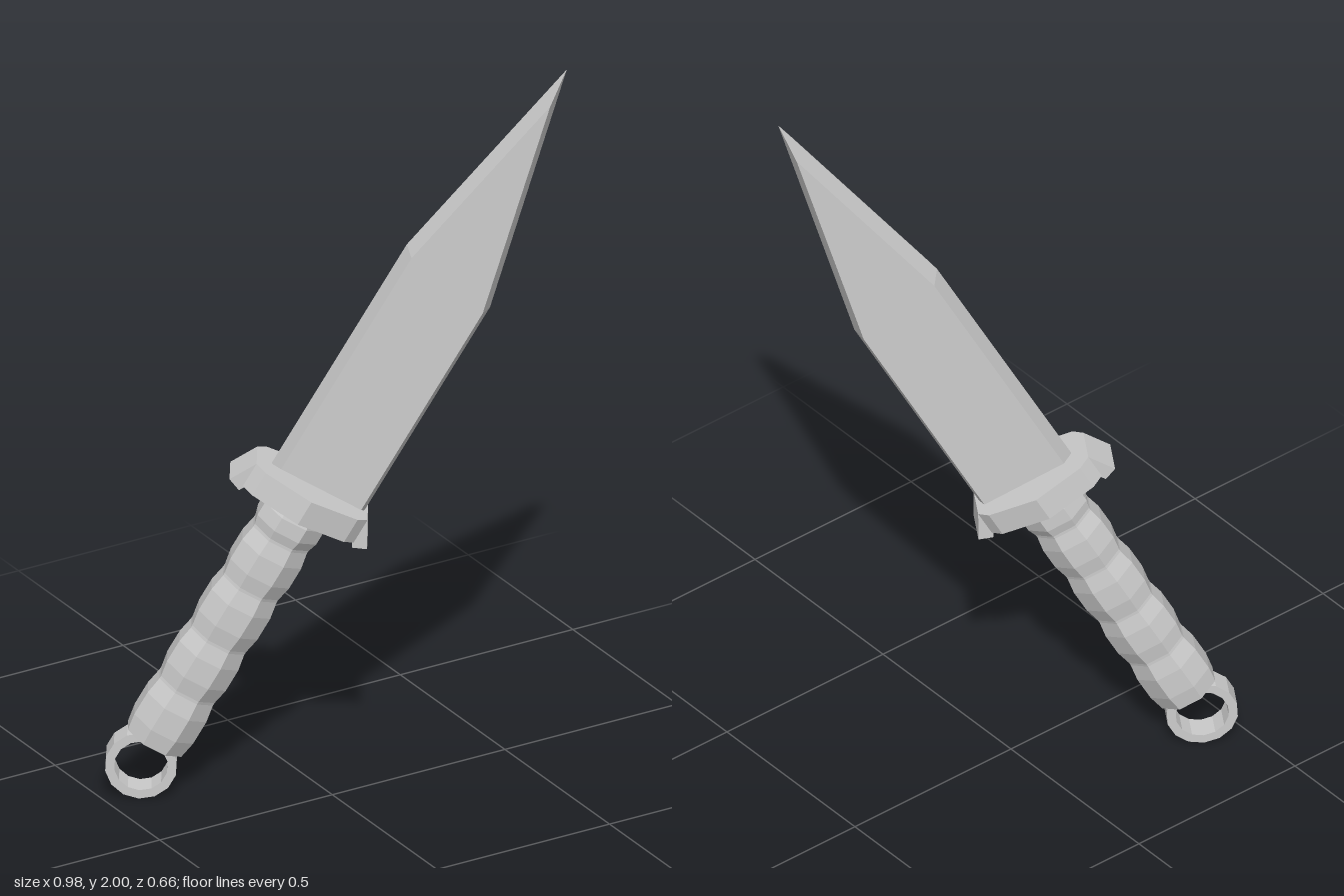
import * as THREE from 'three';

const material = new THREE.MeshStandardMaterial({ color: 0xcccccc, flatShading: true });

function part(parent, name, geometry) {
  const mesh = new THREE.Mesh(geometry, material);
  mesh.name = name;
  parent.add(mesh);
  return mesh;
}

const toShape = pts => new THREE.Shape(pts.map(([x, y]) => new THREE.Vector2(x, y)));

// Flat side outlines joined to a wider middle outline, giving a ridge all round
function ridgedPlate(face, ridge, half) {
  const pos = [];
  const tri = (a, b, c) => {
    pos.push(...a, ...b, ...c);
    // mirrored copy for the other side
    for (const p of [a, c, b]) pos.push(p[0], p[1], -p[2]);
  };
  const f = face.map(p => [...p, half]);
  const r = ridge.map(p => [...p, 0]);
  for (let i = 0; i < f.length; i++) {
    const j = (i + 1) % f.length;
    if (i > 0 && i < f.length - 1) tri(f[0], f[i], f[j]);
    tri(r[i], r[j], f[j]);
    tri(r[i], f[j], f[i]);
  }
  const g = new THREE.BufferGeometry();
  g.setAttribute('position', new THREE.Float32BufferAttribute(pos, 3));
  g.computeVertexNormals();
  return g;
}

export function createModel() {
  const model = new THREE.Group();
  model.name = 'knife';

  // Knife is built upright (y along the blade, z across its thickness), then tilted
  const knife = new THREE.Group();
  knife.name = 'tiltedKnife';
  knife.rotation.set(0, THREE.MathUtils.degToRad(-32.4), THREE.MathUtils.degToRad(-29), 'YXZ');
  knife.position.set(-0.058, 0.82, -0.037);
  model.add(knife);

  // Blade: cutting side at +x, spine at -x
  part(knife, 'blade', ridgedPlate(
    [[0.13, 0.057], [0.13, 0.678], [0, 1.258], [-0.097, 0.724], [-0.097, 0.057]],
    [[0.148, 0.038], [0.148, 0.681], [-0.003, 1.346], [-0.115, 0.73], [-0.115, 0.038]],
    0.05));

  // Guard plate, widest in the middle
  const quarter = [[0.157, 0.05], [0.13, 0.076], [0, 0.11], [-0.13, 0.076], [-0.157, 0.05]];
  const outline = [...quarter, ...quarter.map(([x, y]) => [-x, -y])];
  const guard = new THREE.ExtrudeGeometry(toShape(outline), { depth: 0.07, bevelEnabled: false });
  guard.rotateX(-Math.PI / 2).translate(0, -0.03, 0);
  part(knife, 'guard', guard);

  // Guard ends bent towards the handle
  const tab = new THREE.ExtrudeGeometry(
    toShape([[0.157, 0.04], [0.125, 0.02], [0.16, -0.045], [0.195, -0.03]]),
    { depth: 0.1, bevelEnabled: false });
  tab.translate(0, 0, -0.05);
  part(knife, 'guardTabCuttingSide', tab);
  part(knife, 'guardTabSpineSide', tab).rotation.y = Math.PI;

  // Eight-sided grip with swelling sections and narrow grooves
  const cuts = [-0.77, -0.6, -0.44, -0.275, -0.12, -0.02];
  const profile = [new THREE.Vector2(0, cuts[0])];
  for (let i = 0; i < cuts.length - 1; i++) {
    const a = cuts[i], b = cuts[i + 1];
    profile.push(
      new THREE.Vector2(0.082, a + 0.004),
      new THREE.Vector2(0.09, a + (b - a) * 0.3),
      new THREE.Vector2(0.09, a + (b - a) * 0.7),
      new THREE.Vector2(0.082, b - 0.004));
  }
  profile.push(new THREE.Vector2(0, cuts.at(-1)));
  const grip = new THREE.LatheGeometry(profile, 8, Math.PI / 8);
  grip.scale(1, 1, 0.88);
  part(knife, 'grip', grip);

  // Pommel ring with a square section
  const ringProfile = [[0.067, -0.032], [0.09, -0.032], [0.09, 0.032], [0.067, 0.032], [0.067, -0.032]]
    .map(([x, y]) => new THREE.Vector2(x, y));
  const ring = new THREE.LatheGeometry(ringProfile, 14);
  ring.rotateX(Math.PI / 2).translate(0, -0.835, 0);
  part(knife, 'pommelRing', ring);

  return model;
}
